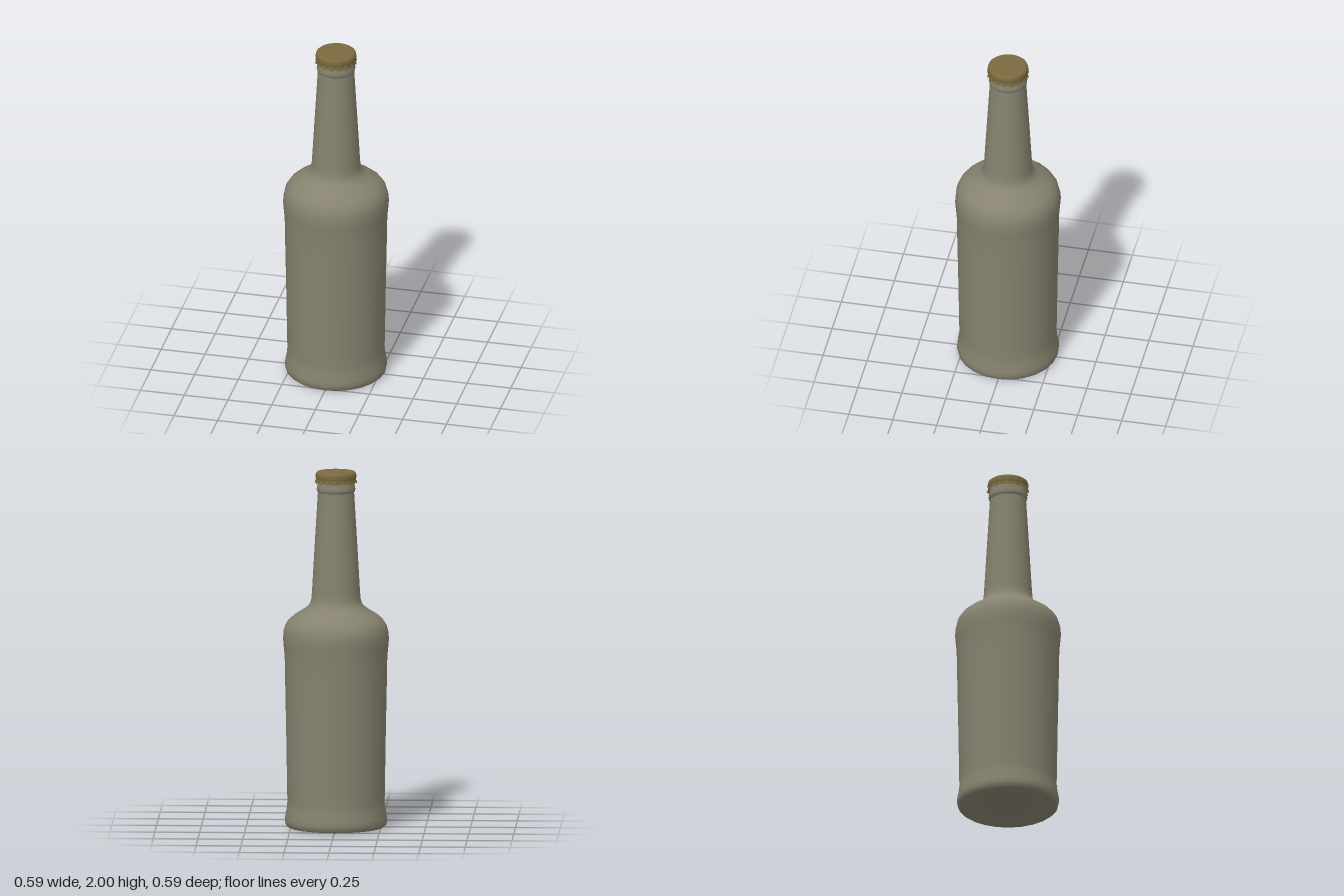
import * as THREE from 'three';

const SIDES = 24;
const TEETH = 16;

function lathe(name, profile, sides, material) {
  const points = profile.map(([r, y]) => new THREE.Vector2(r, y));
  const mesh = new THREE.Mesh(new THREE.LatheGeometry(points, sides), material);
  mesh.name = name;
  return mesh;
}

export function createModel() {
  const glass = new THREE.MeshStandardMaterial({ color: 0x86826f });
  glass.name = 'olive grey glass';
  const brass = new THREE.MeshStandardMaterial({ color: 0x7a6a3f, side: THREE.DoubleSide });
  brass.name = 'dull brass';

  const model = new THREE.Group();
  model.name = 'bottle';

  // Hollowed base, body, shoulder and tapering neck
  model.add(lathe('bottleBody', [
    [0, 0.035], [0.15, 0.033], [0.2, 0.025], [0.222, 0.006], [0.24, 0], [0.268, 0.002],
    [0.28, 0.012], [0.285, 0.035], [0.283, 0.06], [0.274, 0.11], [0.271, 0.14], [0.272, 0.19],
    [0.277, 0.5], [0.283, 0.8], [0.286, 0.96], [0.291, 1.01], [0.295, 1.06], [0.292, 1.1],
    [0.283, 1.135], [0.264, 1.165], [0.235, 1.19], [0.195, 1.215], [0.165, 1.235],
    [0.147, 1.255], [0.138, 1.28], [0.134, 1.32], [0.118, 1.6], [0.101, 1.885],
  ], SIDES, glass));

  // Rounded lip below the cap
  model.add(lathe('lip', [
    [0.099, 1.882], [0.105, 1.888], [0.108, 1.9], [0.106, 1.915], [0.103, 1.925],
    [0.103, 1.945], [0.098, 1.955], [0, 1.955],
  ], SIDES, glass));

  // Cap with a rounded rim
  model.add(lathe('capTop', [
    [0.110, 1.957], [0.113, 1.965], [0.113, 1.983], [0.110, 1.993], [0.103, 1.999],
    [0.096, 2], [0, 2],
  ], 32, brass));

  // Crimped skirt: the lower edge flares and dips at each tooth
  const skirt = lathe('capSkirt', [[0.106, 1.938], [0.109, 1.947], [0.110, 1.958]], TEETH * 4, brass);
  const pos = skirt.geometry.attributes.position;
  for (let i = 0; i < pos.count; i++) {
    const x = pos.getX(i), y = pos.getY(i), z = pos.getZ(i);
    const drop = (1.958 - y) / 0.02;
    const wave = 0.5 + 0.5 * Math.cos(Math.atan2(x, z) * TEETH);
    const scale = 1 + 0.12 * drop * wave;
    pos.setXYZ(i, x * scale, y + 0.007 * drop * (0.5 - wave), z * scale);
  }
  skirt.geometry.computeVertexNormals();
  model.add(skirt);

  return model;
}
